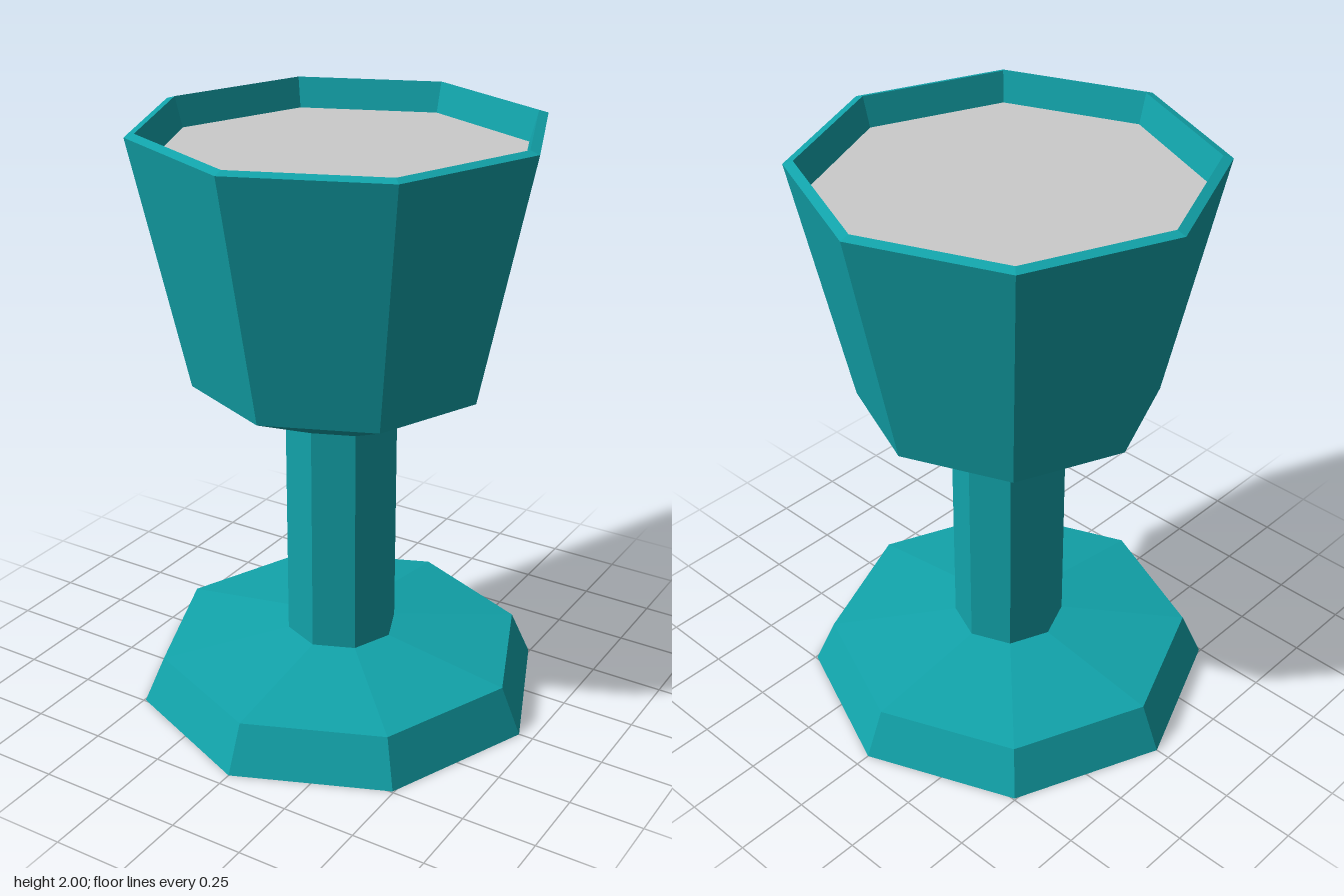
import * as THREE from 'three';

const SIDES = 8;

export function createModel() {
  const model = new THREE.Group();
  model.name = 'goblet';

  const teal = new THREE.MeshStandardMaterial({ color: 0x12a4ab, flatShading: true });
  const grey = new THREE.MeshStandardMaterial({ color: 0xcccccc, flatShading: true });

  // Eight-sided turned part from [radius, height] pairs
  const turned = (name, profile) => {
    const points = profile.map(([r, y]) => new THREE.Vector2(r, y));
    const mesh = new THREE.Mesh(new THREE.LatheGeometry(points, SIDES), teal);
    mesh.name = name;
    model.add(mesh);
  };

  // Foot with closed underside and shallow sloping top
  turned('foot', [[0, 0], [0.7, 0], [0.63, 0.16], [0.19, 0.225]]);

  // Straight stem
  turned('stem', [[0.19, 0.225], [0.19, 1.02]]);

  // Bowl: flared underside, tapered wall, bevelled rim, inner wall
  turned('bowl', [[0.19, 1.02], [0.495, 1.165], [0.672, 1.99], [0.64, 2], [0.612, 1.9]]);

  // Drink surface
  const drink = new THREE.Mesh(new THREE.CircleGeometry(0.612, SIDES).rotateX(-Math.PI / 2), grey);
  drink.name = 'drink';
  drink.position.y = 1.9;
  model.add(drink);

  return model;
}
